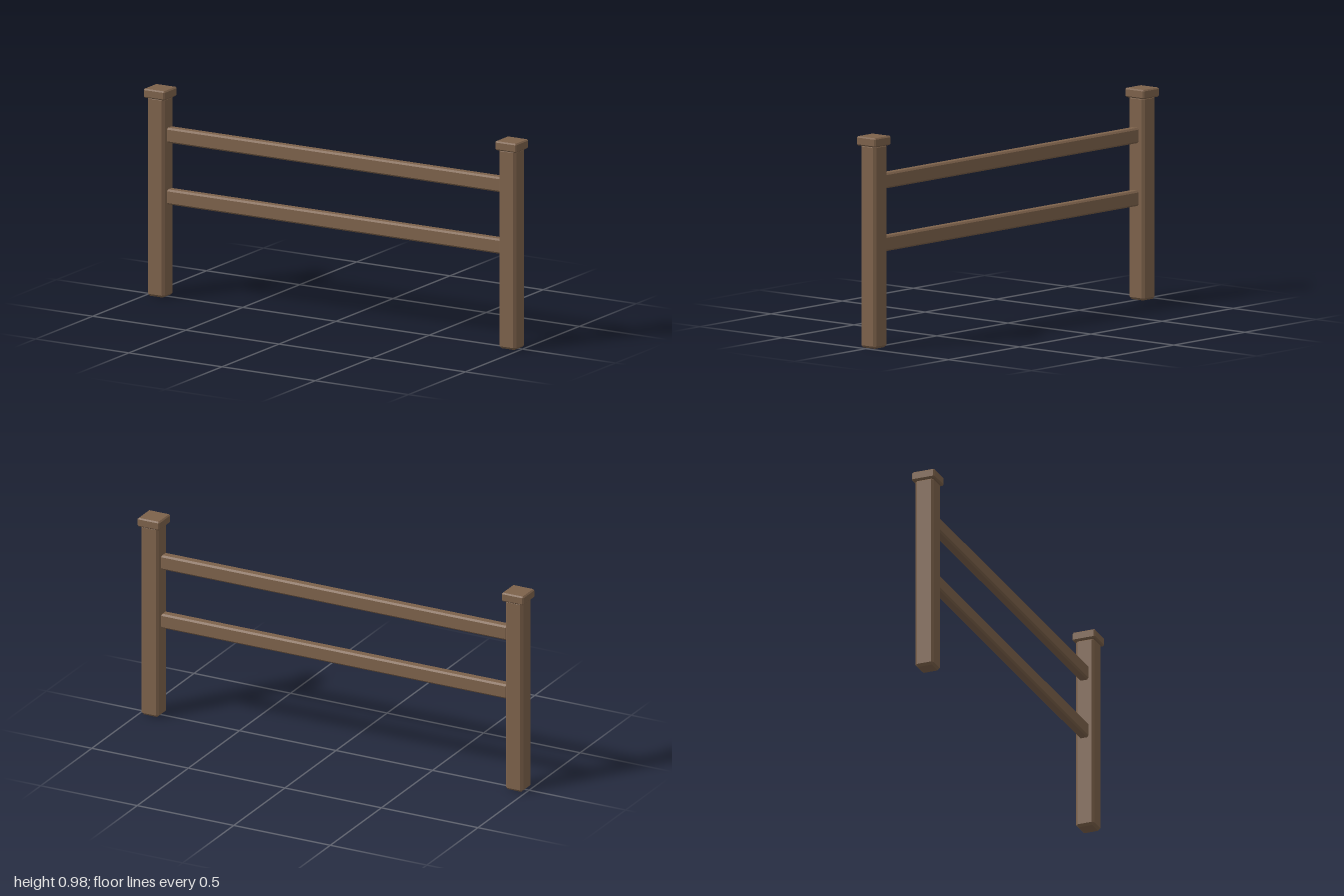
import * as THREE from 'three';
import { ConvexGeometry } from 'three/addons/geometries/ConvexGeometry.js';

const wood = new THREE.MeshStandardMaterial({ color: 0x7d624b, flatShading: true });

// Box with every edge cut by a flat chamfer c
function chamferedBox(name, w, h, d, c) {
  const points = [];
  for (const sx of [-1, 1]) for (const sy of [-1, 1]) for (const sz of [-1, 1]) {
    const x = w / 2, y = h / 2, z = d / 2;
    points.push(
      new THREE.Vector3(sx * x, sy * (y - c), sz * (z - c)),
      new THREE.Vector3(sx * (x - c), sy * y, sz * (z - c)),
      new THREE.Vector3(sx * (x - c), sy * (y - c), sz * z)
    );
  }
  const mesh = new THREE.Mesh(new ConvexGeometry(points), wood);
  mesh.name = name;
  return mesh;
}

export function createModel() {
  const fence = new THREE.Group();
  fence.name = 'fence';

  // Posts with caps, mirrored left and right
  for (const [side, s] of [['left', 1], ['right', -1]]) {
    const post = chamferedBox(side + 'Post', 0.091, 0.943, 0.091, 0.011);
    post.position.set(s * 0.943, 0.4715, 0);
    const cap = chamferedBox(side + 'PostCap', 0.114, 0.043, 0.114, 0.006);
    cap.position.set(s * 0.943, 0.9575, 0);
    fence.add(post, cap);
  }

  // Horizontal rails between the posts
  for (const [name, y] of [['upperRail', 0.765], ['lowerRail', 0.474]]) {
    const rail = chamferedBox(name, 1.797, 0.071, 0.047, 0.008);
    rail.position.y = y;
    fence.add(rail);
  }
  return fence;
}
